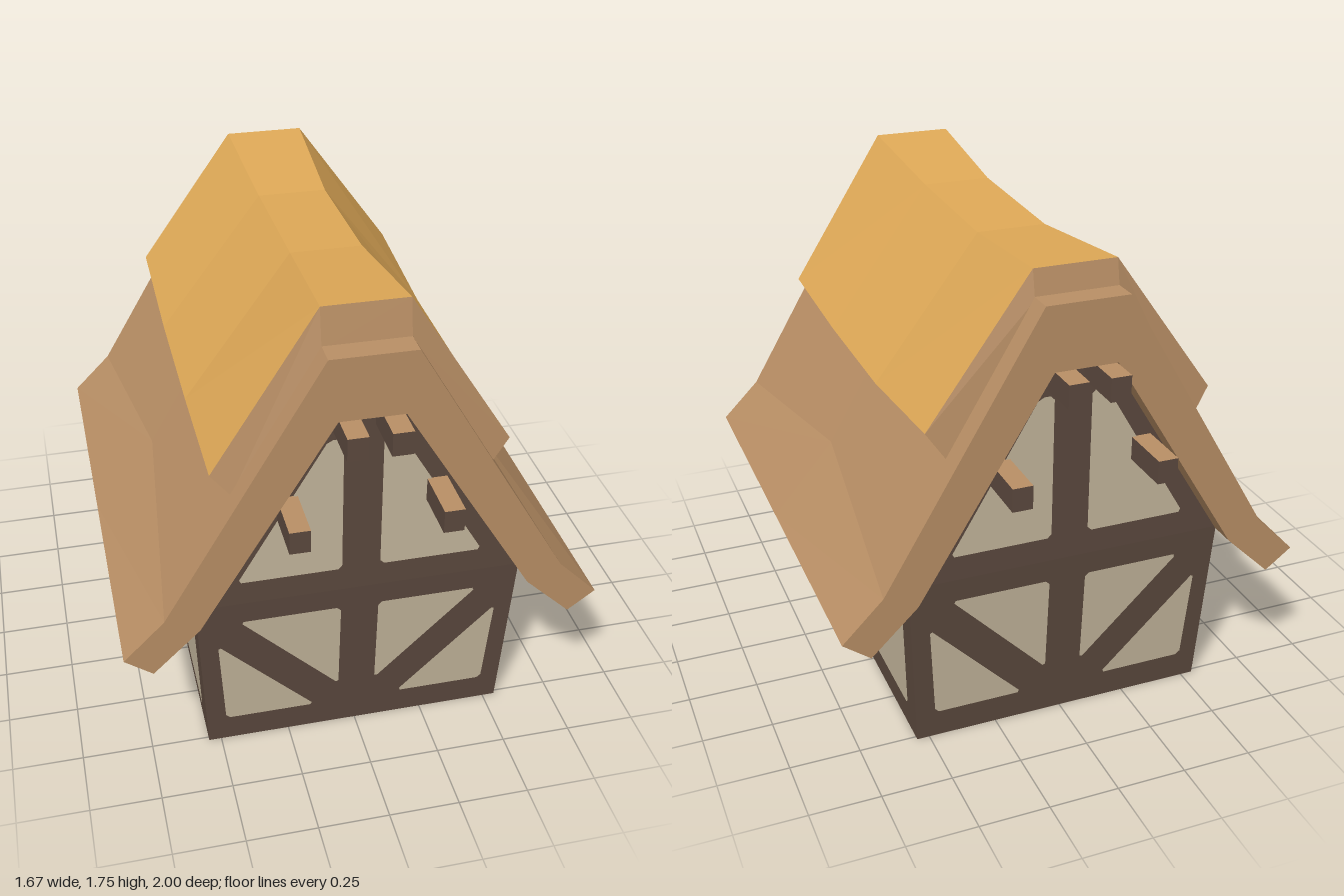
import * as THREE from 'three';

const mat = (name, color) => Object.assign(new THREE.MeshStandardMaterial({ color }), { name });

// Joins closed counter-clockwise rings, listed from front to back, into a capped solid.
// edgeMat(i) picks the material index of the strip that starts at ring point i.
function loft(rings, edgeMat = () => 0) {
  const lists = [[], []];
  const put = (m, ...pts) => pts.forEach(p => lists[m].push(...p));
  const n = rings[0].length;
  for (let s = 0; s < rings.length - 1; s++) {
    for (let i = 0; i < n; i++) {
      const j = (i + 1) % n;
      const a = rings[s][i], b = rings[s][j], c = rings[s + 1][j], d = rings[s + 1][i];
      put(edgeMat(i), a, d, c, a, c, b);
    }
  }
  const cap = (ring, flip) => {
    const outline = ring.map(p => new THREE.Vector2(p[0], p[1]));
    for (const [a, b, c] of THREE.ShapeUtils.triangulateShape(outline, [])) {
      put(0, ring[a], ring[flip ? c : b], ring[flip ? b : c]);
    }
  };
  cap(rings[0], false);
  cap(rings[rings.length - 1], true);
  const geo = new THREE.BufferGeometry();
  geo.setAttribute('position', new THREE.Float32BufferAttribute(lists.flat(), 3));
  geo.addGroup(0, lists[0].length / 3, 0);
  geo.addGroup(lists[0].length / 3, lists[1].length / 3, 1);
  geo.computeVertexNormals();
  return geo;
}

// Mirrors a half profile across x = 0, in reverse order.
const mirrored = pts => pts.map(([x, ...rest]) => [-x, ...rest]).reverse();

// Thin wall panel with clipped corners; depth(y) follows the leaning wall.
function panelGeometry(corners, side, depth) {
  const pts = [];
  corners.forEach((p, i) => {
    const here = new THREE.Vector2(...p);
    for (const k of [corners.length - 1, 1]) {
      const to = new THREE.Vector2(...corners[(i + k) % corners.length]).sub(here).setLength(0.014);
      pts.push(here.clone().add(to));
    }
  });
  pts.forEach(p => { p.x *= side; });
  const geo = new THREE.ShapeGeometry(new THREE.Shape(pts));
  const pos = geo.attributes.position;
  for (let i = 0; i < pos.count; i++) pos.setZ(i, depth(pos.getY(i)) + 0.004);
  geo.computeVertexNormals();
  return geo;
}

export function createModel() {
  const house = new THREE.Group();
  house.name = 'cottage';
  const timber = mat('dark timber', 0x5c493e);
  const plaster = mat('cream plaster', 0xc4b69c);
  const thatch = mat('brown thatch', 0xb98f65);
  const gold = mat('golden thatch', 0xdfa957);
  const add = (name, geo, material, parent = house) => {
    const mesh = new THREE.Mesh(geo, material);
    mesh.name = name;
    parent.add(mesh);
    return mesh;
  };

  // Walls: a box that widens upward, with a gable block above
  const wallTop = 0.65;
  const frontDepth = y => 0.765 + 0.04 * Math.min(y / wallTop, 1);
  const sideDepth = y => 0.545 + 0.03 * Math.min(y / wallTop, 1);
  const walls = new THREE.BoxGeometry(2, wallTop, 2).translate(0, wallTop / 2, 0);
  const wp = walls.attributes.position;
  for (let i = 0; i < wp.count; i++) {
    const y = wp.getY(i);
    wp.setXYZ(i, wp.getX(i) * sideDepth(y), y, wp.getZ(i) * frontDepth(y));
  }
  walls.computeVertexNormals();
  add('walls', walls, timber);

  const gableHalf = [[0.575, wallTop], [0.107, 1.397]];
  const gableRing = [...gableHalf, ...mirrored(gableHalf)];
  add('gable', loft([0.805, -0.805].map(z => gableRing.map(p => [...p, z]))), [timber, timber]);

  // Plaster panels between the timbers, on all four walls
  const frontPanels = {
    gablePanel: [[0.067, 0.742], [0.43, 0.742], [0.118, 1.27], [0.067, 1.27]],
    upperPanel: [[0.067, 0.195], [0.425, 0.568], [0.067, 0.568]],
    lowerPanel: [[0.155, 0.107], [0.48, 0.107], [0.502, 0.468]],
  };
  const sidePanels = {
    upperPanel: [[0.085, 0.178], [0.61, 0.568], [0.085, 0.568]],
    lowerPanel: [[0.205, 0.105], [0.692, 0.105], [0.718, 0.495]],
  };
  ['front', 'left', 'back', 'right'].forEach((wall, k) => {
    const group = new THREE.Group();
    group.name = wall + 'Panels';
    group.rotation.y = k * Math.PI / 2;
    house.add(group);
    const isSide = k % 2 === 1;
    for (const [name, corners] of Object.entries(isSide ? sidePanels : frontPanels)) {
      for (const side of [1, -1]) {
        add(name, panelGeometry(corners, side, isSide ? sideDepth : frontDepth), plaster, group);
      }
    }
  });

  // Main roof: thick shell whose eave flare is deeper mid-length
  const roofInner = [[0.11, 1.395], [0.573, 0.642]];
  const roofRing = (z, kink) => {
    const outer = [[0.737, 0.485], [0.833, 0.557], kink, [0.145, 1.62]];
    return [...outer, ...mirrored(outer), ...mirrored(roofInner), ...roofInner].map(p => [...p, z]);
  };
  add('roof', loft([
    roofRing(0.9, [0.69, 0.7]),
    roofRing(0, [0.605, 0.822]),
    roofRing(-0.9, [0.69, 0.7]),
  ]), [thatch, thatch]);

  // Sagging ridge cover: golden top, brown edges and ends
  const coverRings = [
    // base z, top z, ridge half width, ridge y, lower edge y
    [0.815, 0.79, 0.145, 1.745, 1.18],
    [0.27, 0.27, 0.125, 1.68, 1.157],
    [-0.27, -0.27, 0.125, 1.66, 1.157],
    [-0.815, -0.795, 0.145, 1.707, 1.205],
  ].map(([zBase, zTop, w, ridge, low]) => {
    const outer = [[0.44, 1.11, zBase], [0.505, low, zTop], [w, ridge, zTop]];
    const base = [0.145, 1.61, zBase];
    return [...outer, ...mirrored(outer), ...mirrored([base]), base];
  });
  add('ridgeCover', loft(coverRings, i => (i >= 1 && i <= 3 ? 1 : 0)), [thatch, gold]);

  // Beam ends sticking out of both gables, with brown tops
  const beamMats = [timber, timber, thatch, timber, timber, timber];
  for (const end of [1, -1]) {
    for (const side of [1, -1]) {
      for (const [x, y] of [[0.072, 1.352], [0.255, 1.028]]) {
        add('beamEnd', new THREE.BoxGeometry(0.07, 0.083, 0.24), beamMats)
          .position.set(x * side, y, 0.88 * end);
      }
    }
  }
  return house;
}
